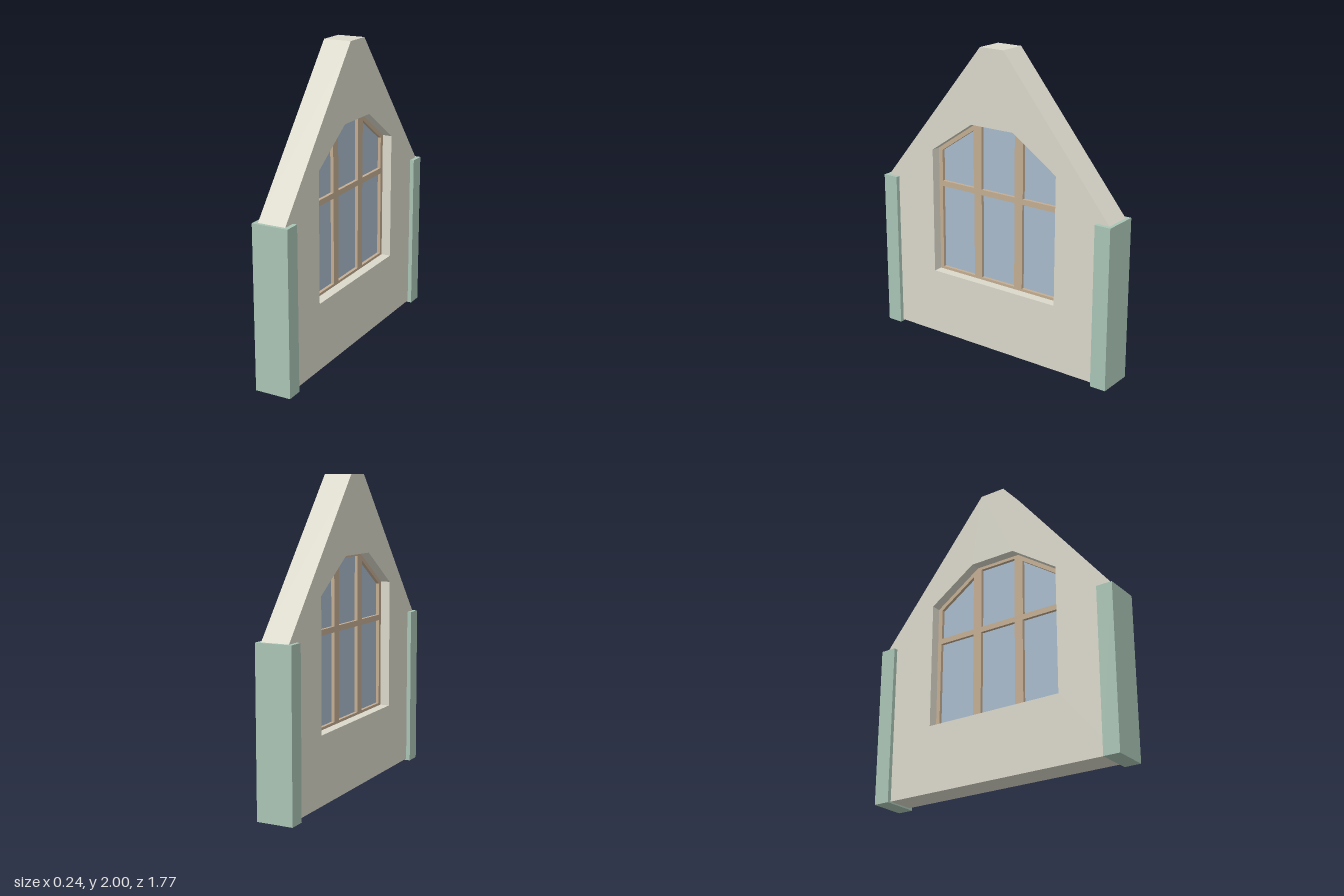
import * as THREE from 'three';

const material = (color) => new THREE.MeshStandardMaterial({ color, flatShading: true });

const toPoints = (list) => list.map(([z, y]) => new THREE.Vector2(z, y));

// Extrude a (z, y) outline with holes into a slab centred on x = 0
function slab(name, outline, holes, thickness, mat) {
  const shape = new THREE.Shape(toPoints(outline));
  for (const hole of holes) shape.holes.push(new THREE.Path(toPoints(hole)));
  const geometry = new THREE.ExtrudeGeometry(shape, { depth: thickness, bevelEnabled: false });
  geometry.translate(0, 0, -thickness / 2);
  geometry.rotateY(-Math.PI / 2);
  const mesh = new THREE.Mesh(geometry, mat);
  mesh.name = name;
  return mesh;
}

const rect = (z0, z1, y0, y1) => [[z0, y0], [z1, y0], [z1, y1], [z0, y1]];
const mirror = (outline) => outline.map(([z, y]) => [-z, y]).reverse();

export function createModel() {
  const group = new THREE.Group();
  const wallMat = material(0xdad8ca);
  const postMat = material(0xa9c4b5);
  const frameMat = material(0xc4ad92);
  const glassMat = material(0xa8bacb);

  // Gable wall with a window opening
  const opening = [[-0.48, 0.45], [0.48, 0.45], [0.48, 1.29], [0.16, 1.505], [-0.16, 1.505], [-0.48, 1.29]];
  const gable = [[-0.862, 0.01], [0.862, 0.01], [0.862, 1.055], [0.088, 2], [-0.088, 2], [-0.862, 1.055]];
  group.add(slab('gableWall', gable, [opening], 0.183, wallMat));

  // Window frame: three columns, two rows, clipped upper corners
  const sideLower = rect(0.19, 0.453, 0.467, 1.033);
  const sideUpper = [[0.193, 1.07], [0.45, 1.07], [0.45, 1.278], [0.193, 1.45]];
  const panes = [
    rect(-0.13, 0.13, 0.467, 1.033),
    rect(-0.13, 0.13, 1.07, 1.485),
    sideLower, mirror(sideLower),
    sideUpper, mirror(sideUpper),
  ];
  const windowGroup = new THREE.Group();
  windowGroup.name = 'window';
  windowGroup.add(slab('windowFrame', opening, panes, 0.056, frameMat));
  for (const pane of panes) windowGroup.add(slab('windowPane', pane, [], 0.014, glassMat));
  group.add(windowGroup);

  // Corner posts capping both ends of the wall
  for (const side of [1, -1]) {
    const post = new THREE.Mesh(new THREE.BoxGeometry(0.238, 1.055, 0.107), postMat);
    post.position.set(0, 1.055 / 2, side * 0.831);
    post.name = side > 0 ? 'frontPost' : 'backPost';
    group.add(post);
  }

  return group;
}
